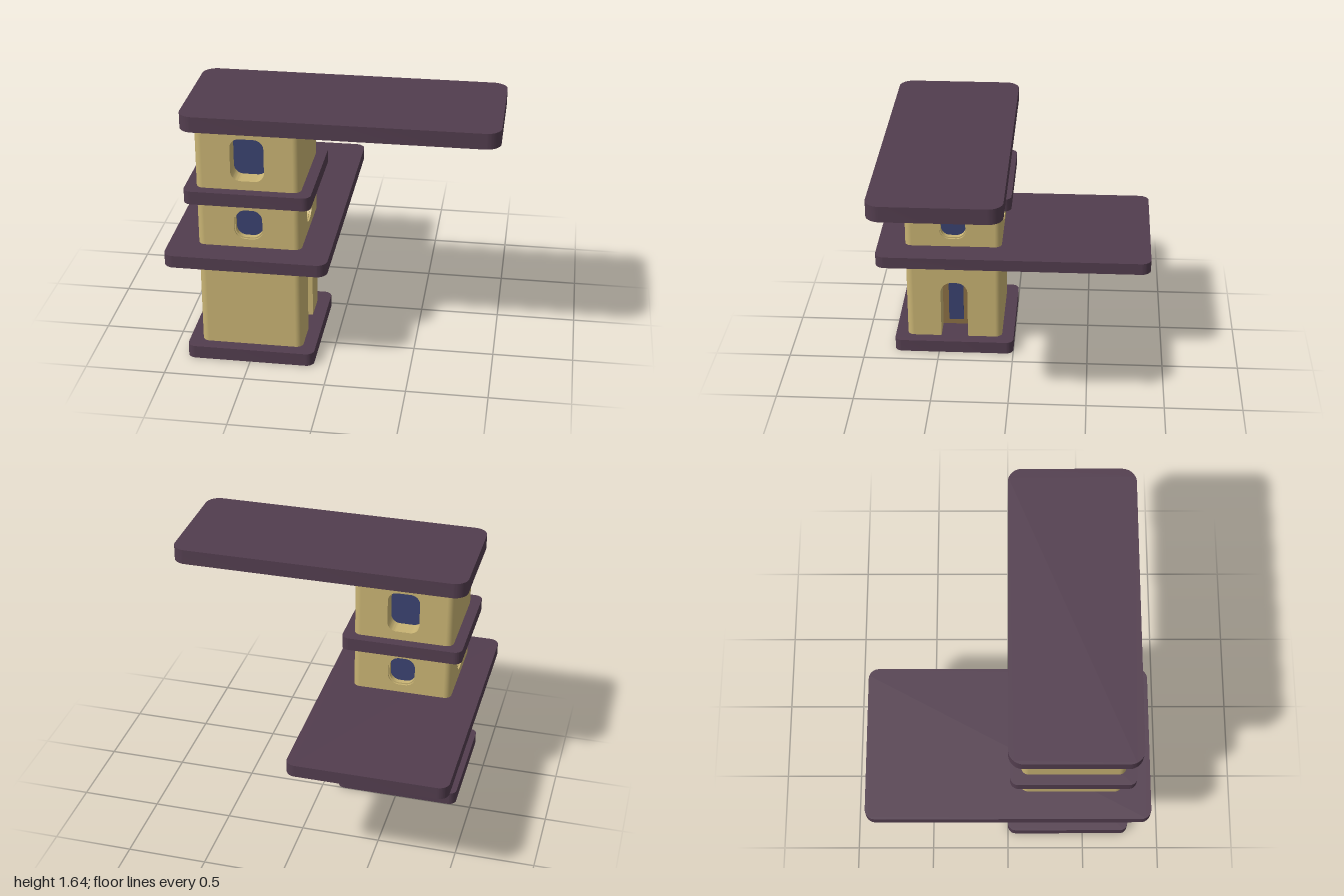
import * as THREE from 'three';
import { toCreasedNormals } from 'three/addons/utils/BufferGeometryUtils.js';

const wallMat = new THREE.MeshStandardMaterial({ color: 0xc8b373 });
const slabMat = new THREE.MeshStandardMaterial({ color: 0x523d4e });
const glassMat = new THREE.MeshStandardMaterial({ color: 0x3a4270 });
const doorMat = new THREE.MeshStandardMaterial({ color: 0x8b7045 });

const HALF = 0.32;   // half width of the tower
const R = 0.045;     // tower corner radius
const CX = -0.5, CZ = 0.4;

// Rounded rectangle; top and bottom corners may have different radii
function outline(x0, y0, x1, y1, top, bottom = top, Type = THREE.Shape) {
  const s = new Type();
  s.moveTo(x0 + bottom, y0);
  s.lineTo(x1 - bottom, y0);
  if (bottom) s.absarc(x1 - bottom, y0 + bottom, bottom, -Math.PI / 2, 0);
  s.lineTo(x1, y1 - top);
  if (top) s.absarc(x1 - top, y1 - top, top, 0, Math.PI / 2);
  s.lineTo(x0 + top, y1);
  if (top) s.absarc(x0 + top, y1 - top, top, Math.PI / 2, Math.PI);
  s.lineTo(x0, y0 + bottom);
  if (bottom) s.absarc(x0 + bottom, y0 + bottom, bottom, Math.PI, Math.PI * 1.5);
  return s;
}

function extrude(shape, depth) {
  const g = new THREE.ExtrudeGeometry(shape, { depth, bevelEnabled: false, curveSegments: 10 });
  return toCreasedNormals(g, 0.6);
}

function add(parent, name, geometry, material) {
  const mesh = new THREE.Mesh(geometry, material);
  mesh.name = name;
  parent.add(mesh);
  return mesh;
}

// Horizontal plate with rounded corners
function slab(parent, name, x0, x1, z0, z1, y0, y1, r) {
  const m = add(parent, name, extrude(outline(x0, -z1, x1, -z0, r), y1 - y0), slabMat);
  m.rotation.x = -Math.PI / 2;
  m.position.y = y0;
}

// One side of a storey, facing local +z, with an optional recessed opening
function wall(parent, y0, y1, angle, opening) {
  const side = new THREE.Group();
  side.name = 'wallSide';
  side.rotation.y = angle;
  parent.add(side);
  const depth = opening ? opening.depth : 0.05;
  const back = HALF - depth;
  const w = HALF - R;
  const shape = outline(-w, y0, w, y1, 0);
  if (opening) {
    const { w: ow, bottom, top, rTop, rBottom, rim, panel } = opening;
    const h = ow / 2;
    shape.holes.push(outline(-h, bottom, h, top, rTop, rBottom, THREE.Path));
    // Closing pane behind the recess
    const pane = add(side, panel ? 'doorPanel' : 'windowPane',
      extrude(outline(-h - 0.01, bottom - 0.01, h + 0.01, top + 0.01, rTop, rBottom), 0.02),
      panel ? doorMat : glassMat);
    pane.position.z = back - 0.02;
    if (panel) {
      const glass = add(side, 'doorGlass', extrude(outline(-0.05, 0.12, 0.05, 0.45, 0.03, 0.005), 0.015), glassMat);
      glass.position.z = back - 0.01;
    }
    if (rim) {
      // Narrow inner step around the window
      const ring = outline(-h - 0.005, bottom - 0.005, h + 0.005, top + 0.005, rTop, rBottom);
      ring.holes.push(outline(-h + rim, bottom + rim, h - rim, top - rim, rTop - rim, rBottom - rim, THREE.Path));
      add(side, 'windowRim', extrude(ring, depth - 0.012), wallMat).position.z = back;
    }
  }
  add(side, 'wall', extrude(shape, depth), wallMat).position.z = back;
}

// Storey with four walls and rounded corners; openings ordered front, +x, back, -x
function storey(parent, name, y0, y1, openings) {
  const g = new THREE.Group();
  g.name = name;
  g.position.set(CX, 0, CZ);
  parent.add(g);
  openings.forEach((o, i) => wall(g, y0, y1, i * Math.PI / 2, o));
  for (const sx of [-1, 1]) for (const sz of [-1, 1]) {
    const post = add(g, 'roundedCorner', new THREE.CylinderGeometry(R, R, y1 - y0, 32), wallMat);
    post.position.set(sx * (HALF - R), (y0 + y1) / 2, sz * (HALF - R));
  }
}

export function createModel() {
  const model = new THREE.Group();
  model.name = 'tower';

  // Horizontal plates
  slab(model, 'basePlate', -0.9, -0.1, 0, 0.8, 0, 0.083, 0.05);
  slab(model, 'longTerrace', -1, 0, -0.9, 0.9, 0.69, 0.768, 0.065);
  slab(model, 'middleLedge', -0.887, -0.113, 0.013, 0.787, 1.068, 1.152, 0.05);
  slab(model, 'roofPlate', -0.9, 1, 0, 0.795, 1.542, 1.64, 0.09);

  // Openings
  const door = { w: 0.18, bottom: 0.075, top: 0.49, rTop: 0.075, rBottom: 0, depth: 0.16, panel: true };
  const small = { w: 0.18, bottom: 0.822, top: 1.018, rTop: 0.07, rBottom: 0.07, depth: 0.045, rim: 0.008 };
  const large = { w: 0.205, bottom: 1.21, top: 1.483, rTop: 0.06, rBottom: 0.06, depth: 0.11 };

  // Storeys, their ends tucked into the plates
  storey(model, 'lowerStorey', 0.05, 0.71, [null, door, null, null]);
  storey(model, 'middleStorey', 0.75, 1.09, [small, small, small, small]);
  storey(model, 'upperStorey', 1.13, 1.56, [large, null, large, null]);
  return model;
}
